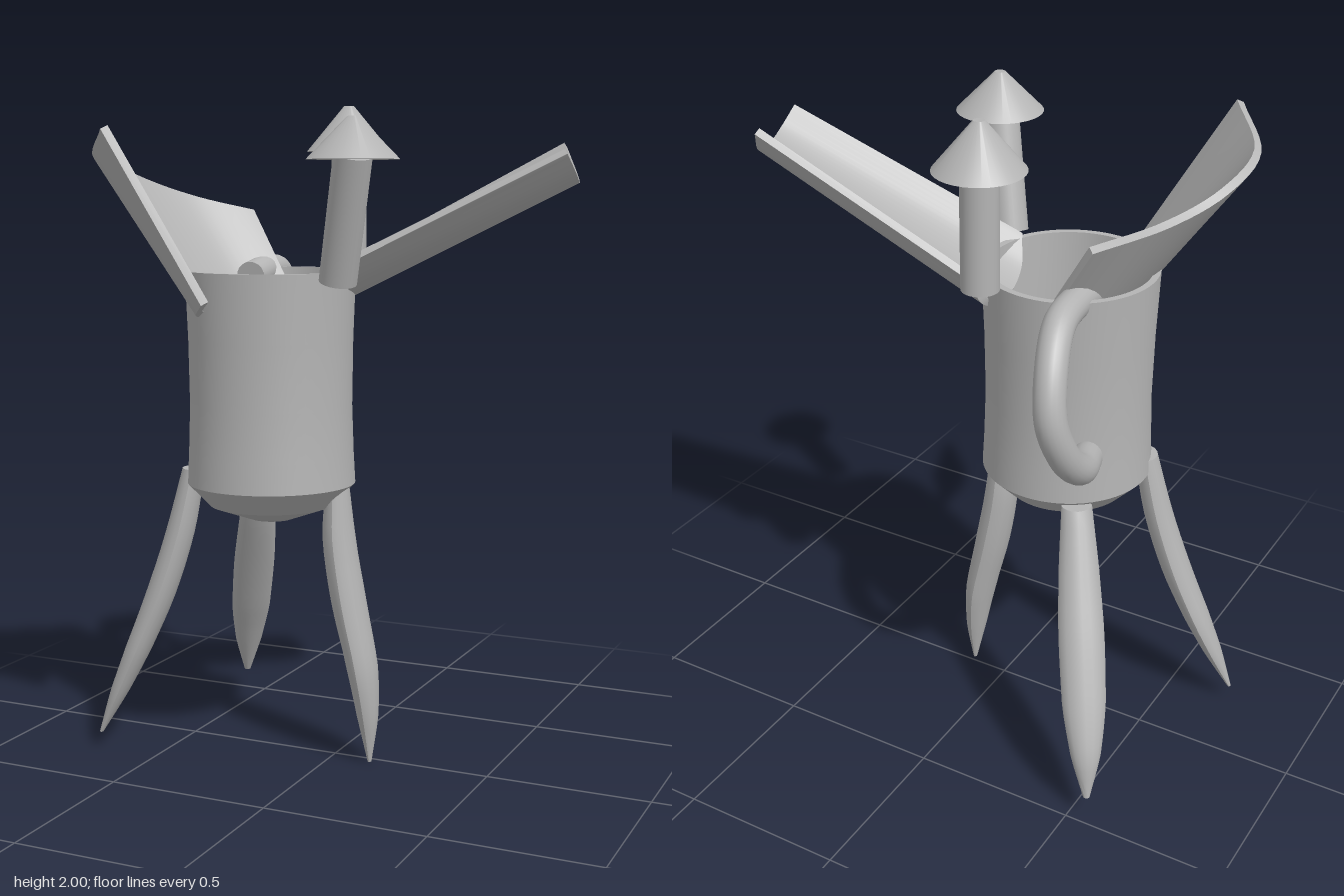
import * as THREE from 'three';
import { toCreasedNormals } from 'three/addons/utils/BufferGeometryUtils.js';

const bronze = new THREE.MeshStandardMaterial({ color: 0xb4b4b4 });
bronze.name = 'plain grey';
const CX = -0.193, CZ = 0.048; // axis of the cup
const v = (x, y, z) => new THREE.Vector3(x, y, z);

function part(name, geometry, parent, crease = 0.5) {
  const mesh = new THREE.Mesh(toCreasedNormals(geometry, crease), bronze);
  mesh.name = name;
  parent.add(mesh);
  return mesh;
}

// Closed solid through equal rings of points, capped at both ends
function loft(rings) {
  const n = rings[0].length, index = [];
  const quad = (a, b, c, d) => index.push(a, b, c, a, c, d);
  for (let r = 0; r < rings.length - 1; r++) {
    for (let i = 0; i < n; i++) {
      const j = (i + 1) % n, o = r * n;
      quad(o + i, o + j, o + n + j, o + n + i);
    }
  }
  const last = (rings.length - 1) * n;
  for (let i = 0; i < n / 2 - 1; i++) {
    quad(n - 1 - i, n - 2 - i, i + 1, i);
    quad(last + i, last + i + 1, last + n - 2 - i, last + n - 1 - i);
  }
  // Turn the faces outward by the sign of the volume
  const points = rings.flat();
  let volume = 0;
  for (let i = 0; i < index.length; i += 3) {
    const [a, b, c] = [0, 1, 2].map(k => points[index[i + k]].clone().sub(points[0]));
    volume += a.dot(b.cross(c));
  }
  if (volume < 0) index.reverse();
  const geometry = new THREE.BufferGeometry().setFromPoints(points);
  geometry.setIndex(index);
  return geometry;
}

// Curved trough between a lower and an upper arc, thickened to its hollow side
function trough(lower, upper, thickness) {
  const steps = 24;
  const curves = [lower, upper].map(a => new THREE.CatmullRomCurve3(a.map(p => v(...p))));
  const arcs = curves.map(c => Array.from({ length: steps + 1 }, (_, i) => c.getPoint(i / steps)));
  const rings = arcs.map((arc, k) => {
    const chordMid = arc[0].clone().add(arc[steps]).multiplyScalar(0.5);
    const hollow = chordMid.sub(arc[steps / 2]);
    const inner = arc.map((p, i) => {
      const along = arcs[1][i].clone().sub(arcs[0][i]);
      const normal = curves[k].getTangent(i / steps).cross(along).normalize();
      if (i === steps / 2 && normal.dot(hollow) === 0) normal.copy(hollow).normalize();
      return { p, normal };
    });
    const sign = Math.sign(inner[steps / 2].normal.dot(hollow)) || 1;
    const offset = inner.map(o => o.p.clone().addScaledVector(o.normal, sign * thickness));
    return [...arc, ...offset.reverse()];
  });
  return loft(rings);
}

// Blade leg: rows of [height, distance from cup axis, half width, half depth]
function leg(dx, dz, rows) {
  const len = Math.hypot(dx, dz), ux = dx / len, uz = dz / len;
  const heights = new THREE.CatmullRomCurve3(rows.map(r => v(r[0], r[1], 0)));
  const sizes = new THREE.CatmullRomCurve3(rows.map(r => v(r[2], r[3], 0)));
  const steps = 20, sides = 16, rings = [];
  for (let s = 0; s <= steps; s++) {
    const h = heights.getPoint(s / steps), size = sizes.getPoint(s / steps);
    rings.push(Array.from({ length: sides }, (_, i) => {
      const a = (i + 0.001) / sides * Math.PI * 2, sn = Math.sin(a);
      const w = size.x * Math.cos(a);
      const r = h.y + size.y * sn * Math.pow(Math.abs(sn), 0.25);
      return v(CX + ux * r - uz * w, h.x, CZ + uz * r + ux * w);
    }));
  }
  return loft(rings);
}

// Post with a conical cap
function post(name, foot, top, capY, tipY, parent) {
  const group = new THREE.Group();
  group.name = name;
  parent.add(group);
  const axis = top.clone().sub(foot);
  const stem = part('stem', new THREE.CylinderGeometry(0.055, 0.055, axis.length(), 32), group);
  stem.position.copy(foot).add(top).multiplyScalar(0.5);
  stem.quaternion.setFromUnitVectors(v(0, 1, 0), axis.normalize());
  const cap = part('cap', new THREE.CylinderGeometry(0.016, 0.131, tipY - capY, 32), group);
  cap.position.set(top.x, (capY + tipY) / 2, top.z);
}

export function createModel() {
  const model = new THREE.Group();
  model.name = 'tripod wine vessel';

  // Hollow cup with a stepped round bottom
  const profile = [
    [0, 0.745], [0.065, 0.745], [0.19, 0.79], [0.257, 0.86], [0.252, 0.95], [0.247, 1.1],
    [0.25, 1.3], [0.258, 1.505], [0.238, 1.505], [0.23, 1.3], [0.227, 1.1], [0.232, 0.9],
    [0.17, 0.82], [0.06, 0.775], [0, 0.775],
  ].map(p => new THREE.Vector2(...p));
  part('cup', new THREE.LatheGeometry(profile, 64), model, 0.4).position.set(CX, 0, CZ);

  // Long pouring spout
  part('spout', trough(
    [[0.04, 1.5, 0.165], [0.0, 1.43, 0.09], [-0.03, 1.395, -0.04], [-0.03, 1.43, -0.17], [-0.02, 1.53, -0.235]],
    [[0.7, 1.845, -0.03], [0.71, 1.79, -0.09], [0.70, 1.765, -0.16], [0.67, 1.785, -0.25], [0.61, 1.87, -0.335]],
    0.022), model);

  // Broad flaring tail
  part('tail', trough(
    [[-0.23, 1.42, 0.415], [-0.31, 1.38, 0.3], [-0.335, 1.37, 0.14], [-0.31, 1.385, -0.02], [-0.23, 1.43, -0.15]],
    [[-0.51, 1.915, 0.48], [-0.635, 1.835, 0.32], [-0.62, 1.775, 0.13], [-0.53, 1.72, -0.03], [-0.38, 1.67, -0.19]],
    0.024), model);

  // Capped posts beside the spout
  post('rearPost', v(-0.062, 1.515, -0.24), v(-0.062, 1.87, -0.24), 1.862, 2.0, model);
  post('frontPost', v(0.107, 1.485, 0.22), v(0.187, 1.84, 0.297), 1.828, 1.945, model);

  // Bowed handle, closed at both ends
  const handle = new THREE.Group();
  handle.name = 'handle';
  model.add(handle);
  const path = new THREE.CatmullRomCurve3([
    [-0.3, 1.48, -0.03], [-0.31, 1.495, -0.15], [-0.33, 1.485, -0.28], [-0.36, 1.4, -0.375],
    [-0.385, 1.27, -0.418], [-0.405, 1.14, -0.37], [-0.405, 1.06, -0.28], [-0.365, 1.025, -0.16],
  ].map(p => v(...p)));
  part('grip', new THREE.TubeGeometry(path, 48, 0.046, 20), handle);
  for (const [t, sign] of [[0, -1], [1, 1]]) {
    const end = part('gripEnd', new THREE.CircleGeometry(0.046, 20), handle);
    end.position.copy(path.getPoint(t));
    end.quaternion.setFromUnitVectors(v(0, 0, 1), path.getTangent(t).multiplyScalar(sign));
  }

  // Three splayed blade legs
  part('leftLeg', leg(0.32, -0.025, [
    [0.86, 0.215, 0.045, 0.035], [0.7, 0.22, 0.062, 0.05], [0.5, 0.252, 0.07, 0.053],
    [0.3, 0.295, 0.068, 0.047], [0.15, 0.313, 0.045, 0.033], [0, 0.32, 0.008, 0.006],
  ]), model);
  part('frontLeg', leg(-0.51, 0.2, [
    [0.9, 0.24, 0.05, 0.035], [0.7, 0.285, 0.062, 0.045], [0.5, 0.35, 0.068, 0.047],
    [0.33, 0.42, 0.065, 0.042], [0.19, 0.482, 0.045, 0.03], [0.05, 0.545, 0.008, 0.006],
  ]), model);
  part('rearLeg', leg(-0.36, -0.52, [
    [0.85, 0.25, 0.045, 0.035], [0.68, 0.335, 0.06, 0.045], [0.5, 0.435, 0.068, 0.047],
    [0.34, 0.52, 0.065, 0.045], [0.2, 0.59, 0.045, 0.035], [0.075, 0.632, 0.01, 0.008],
  ]), model);

  return model;
}
